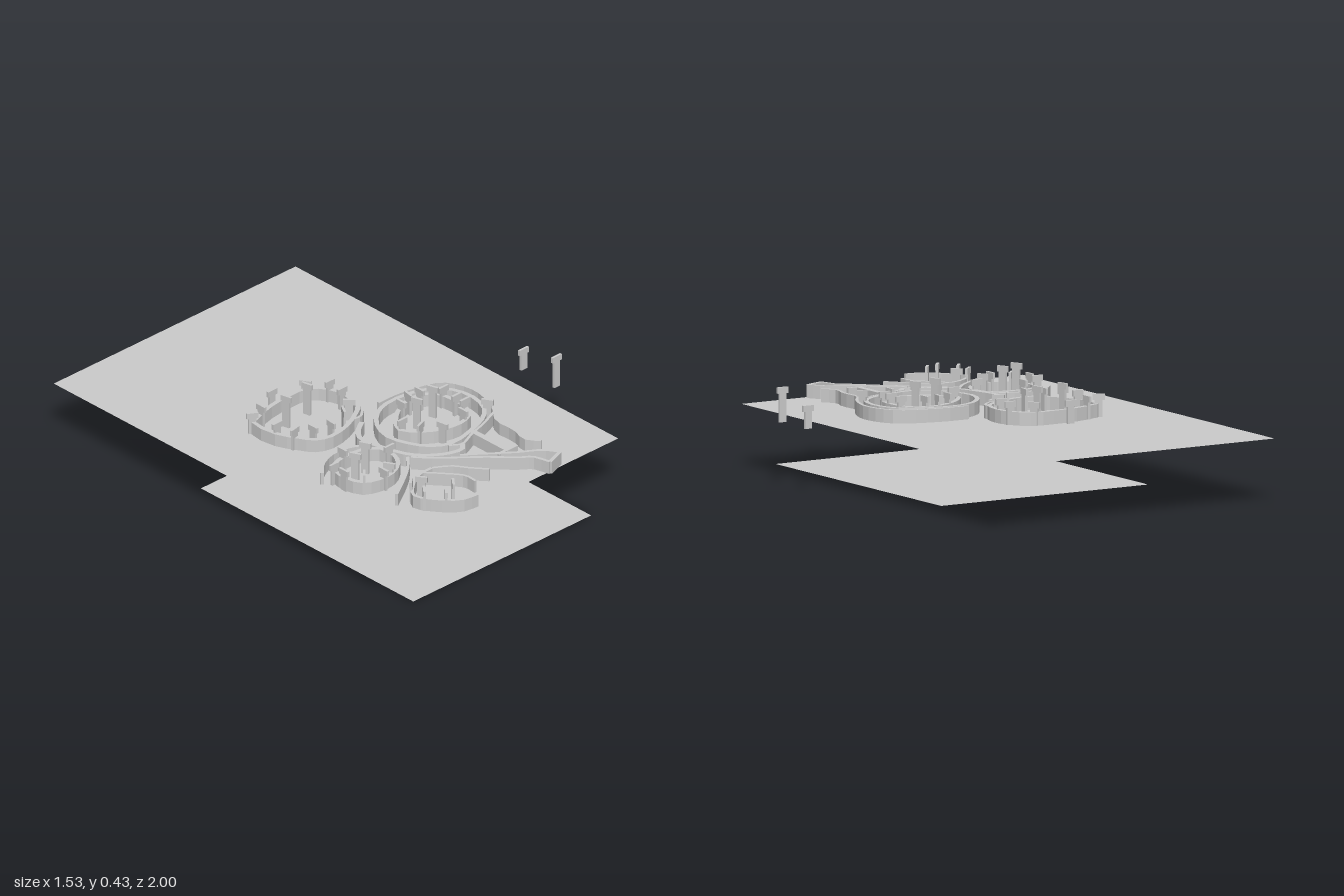
import * as THREE from 'three';

const grey = new THREE.MeshStandardMaterial({ color: 0xcccccc, flatShading: true, side: THREE.DoubleSide });
const BASE = 0.278, RAIL_TOP = 0.335, SHORT_TOP = 0.377, TALL_TOP = 0.427;

function add(parent, name, geometry) {
  const mesh = new THREE.Mesh(geometry, grey);
  mesh.name = name;
  parent.add(mesh);
  return mesh;
}

// Flat sheet between two corners at height y
function sheet(parent, name, x0, x1, z0, z1, y) {
  const g = new THREE.PlaneGeometry(x1 - x0, z1 - z0).rotateX(-Math.PI / 2);
  add(parent, name, g).position.set((x0 + x1) / 2, y, (z0 + z1) / 2);
}

// Upright rail following a plan path of [x, z] points in hundredths
function rail(parent, name, path, closed = false, width = 0.02) {
  const pts = path.map(([x, z]) => new THREE.Vector3(x / 100, -z / 100, 0));
  const curve = new THREE.CatmullRomCurve3(pts, closed, 'centripetal');
  const n = pts.length * 2;
  const side = (d) => Array.from({ length: closed ? n : n + 1 }, (_, i) => {
    const p = curve.getPoint(i / n), t = curve.getTangent(i / n);
    return new THREE.Vector2(p.x - t.y * d, p.y + t.x * d);
  });
  const a = side(width / 2), b = side(-width / 2);
  let shape;
  if (closed) {
    const aOutside = Math.abs(THREE.ShapeUtils.area(a)) > Math.abs(THREE.ShapeUtils.area(b));
    shape = new THREE.Shape(aOutside ? a : b);
    shape.holes.push(new THREE.Path(aOutside ? b : a));
  } else {
    shape = new THREE.Shape([...a, ...b.reverse()]);
  }
  const g = new THREE.ExtrudeGeometry(shape, { depth: RAIL_TOP - BASE, bevelEnabled: false });
  add(parent, name, g.rotateX(-Math.PI / 2).translate(0, BASE, 0));
}

// Thin T-shaped pin; angle in degrees, 0 = broad face towards the front
function pin(parent, name, x, z, angle, top) {
  const h = top - BASE, w = 0.017, head = 0.026;
  const shape = new THREE.Shape([
    [-w, 0], [w, 0], [w, h - head], [head, h - head], [head, h],
    [-head, h], [-head, h - head], [-w, h - head],
  ].map(([px, py]) => new THREE.Vector2(px, py)));
  const g = new THREE.ExtrudeGeometry(shape, { depth: 0.011, bevelEnabled: false }).translate(0, 0, -0.0055);
  const mesh = add(parent, name, g);
  mesh.position.set(x / 100, BASE, z / 100);
  mesh.rotation.y = THREE.MathUtils.degToRad(angle);
}

// Closed rings
const rings = {
  rearRing: [[-45, -12], [-44.5, 1], [-40, 10], [-36, 16], [-29, 18.5], [-18, 16.5], [-9, 12], [-4, 8],
    [-1.5, -2], [-3, -10], [-9, -17], [-19, -18], [-31, -17], [-41, -14]],
  smallRing: [[-48, 41], [-44, 36], [-37, 34.5], [-28, 35.5], [-21.5, 40], [-21, 48], [-24.5, 54],
    [-31.5, 58], [-39.5, 58], [-46, 55], [-48.5, 48]],
  middleRing: [[6, 15], [-2, 18], [-9, 25], [-12.5, 35], [-10, 45], [-5, 53], [3, 57.5], [14, 56],
    [26, 52], [33, 46], [36, 36], [34, 26], [28, 19], [18, 15.5]],
  innerRing: [[-5, 34.5], [-1, 28], [5, 23], [13, 19.5], [21, 19.5], [27, 24], [28.5, 32], [28, 40],
    [24, 46], [17, 48], [8.5, 46.5], [1.5, 42.5]],
};

// Open rails: [width, path]
const rails = {
  rearRingBump: [0.012, [[-3.5, 5], [-3, 9], [-9, 15], [-13, 14.5]]],
  smallRingArc: [0.014, [[-53, 38], [-48, 33], [-39, 29.5], [-29, 31], [-23, 35]]],
  sideArc: [0.022, [[-12, 19], [-18, 23], [-22, 29], [-20, 40], [-17, 50], [-12, 57], [-4, 62.5], [3, 64], [6, 61]]],
  leftBranch: [0.014, [[-18, 53], [-23.5, 59], [-31.5, 65], [-42.5, 72]]],
  outerArc: [0.014, [[4, 12], [14, 12], [25, 14], [35, 18], [39.5, 26], [40.5, 35], [38, 44], [35, 50],
    [30, 57], [30, 68], [28, 76], [32, 82]]],
  lowerArc: [0.012, [[1, 58], [6, 61], [14, 58], [24, 55], [34, 51]]],
  stem: [0.026, [[16.5, 56], [16.5, 77]]],
  stemFoot: [0.015, [[11, 77.5], [22, 77.5]]],
  diagonalLower: [0.014, [[-17, 54], [-10, 62], [-3, 68], [6, 76], [16, 86], [20, 89], [22.5, 97]]],
  diagonalUpper: [0.014, [[-1, 67], [8, 74], [18, 82], [27, 88], [31, 94]]],
  diagonalEnd: [0.018, [[22.5, 97], [31, 94]]],
  frontArc: [0.014, [[-18, 95.5], [-26, 94], [-34, 86], [-38, 78], [-33, 72], [-25, 67], [-17, 66.5]]],
  frontBranchInner: [0.012, [[-22, 67], [-16, 74], [-11, 81], [-11, 87]]],
  frontBranchOuter: [0.012, [[-17, 66.5], [-10, 71], [-5, 78], [0, 84]]],
};

// Pins: [x, z, angle]
const shortPins = [
  [-45, -13, -30], [-38, -15, 90], [-43, 0, 0], [-41, 8.5, 10], [-34, 12.5, 90], [-26, 15, 85],
  [-15, 11, 60], [-8, 7, -45], [-3.5, -2, 0], [-3, -10, 0], [-10.5, -17, -60], [-26, -21, 0],
  [-38, 34.5, 90], [-49, 41, 0], [-49.5, 47.5, 90], [-37, 58.5, 90], [-45, 55, 45], [-32, 56.5, -60], [-22, 46, 0],
  [-3, 34, 0], [7, 23, 90], [13.5, 20.5, 80], [19.5, 21, 90], [28, 26.5, 0], [27.5, 35, 0], [27.5, 40, 0],
  [21, 46, 90], [7, 48, 100], [0, 42, 20], [34, 47, -60],
  [-36, 82, 50], [-30, 74, -55], [-23, 86, 50], [-30, 89, 50], [-35, 73, 40],
];
const tallPins = [[-31, -7, -78], [-17.5, -8.5, -78], [-42.5, 47, -65], [-33.5, 43.5, -65], [7.5, 32, -72], [19, 29.5, -72]];

export function createModel() {
  const model = new THREE.Group();

  // Two thin sheets, one above the other
  sheet(model, 'upperSheet', -0.77, 0.63, -1, 0.96, BASE);
  sheet(model, 'lowerSheet', -0.595, 0.435, -0.29, 1, 0);

  // Rails on the upper sheet
  for (const [name, path] of Object.entries(rings)) rail(model, name, path, true);
  for (const [name, [width, path]] of Object.entries(rails)) rail(model, name, path, false, width);

  // Pins through and inside the rings
  const pins = new THREE.Group();
  pins.name = 'pins';
  model.add(pins);
  for (const [x, z, a] of shortPins) pin(pins, 'shortPin', x, z, a, SHORT_TOP);
  for (const [x, z, a] of tallPins) pin(pins, 'tallPin', x, z, a, TALL_TOP);

  // Two loose pins beside the sheet
  pin(pins, 'looseShortPin', 73.9, 27, 0, SHORT_TOP);
  pin(pins, 'looseTallPin', 73.9, 47, 0, TALL_TOP);
  return model;
}
